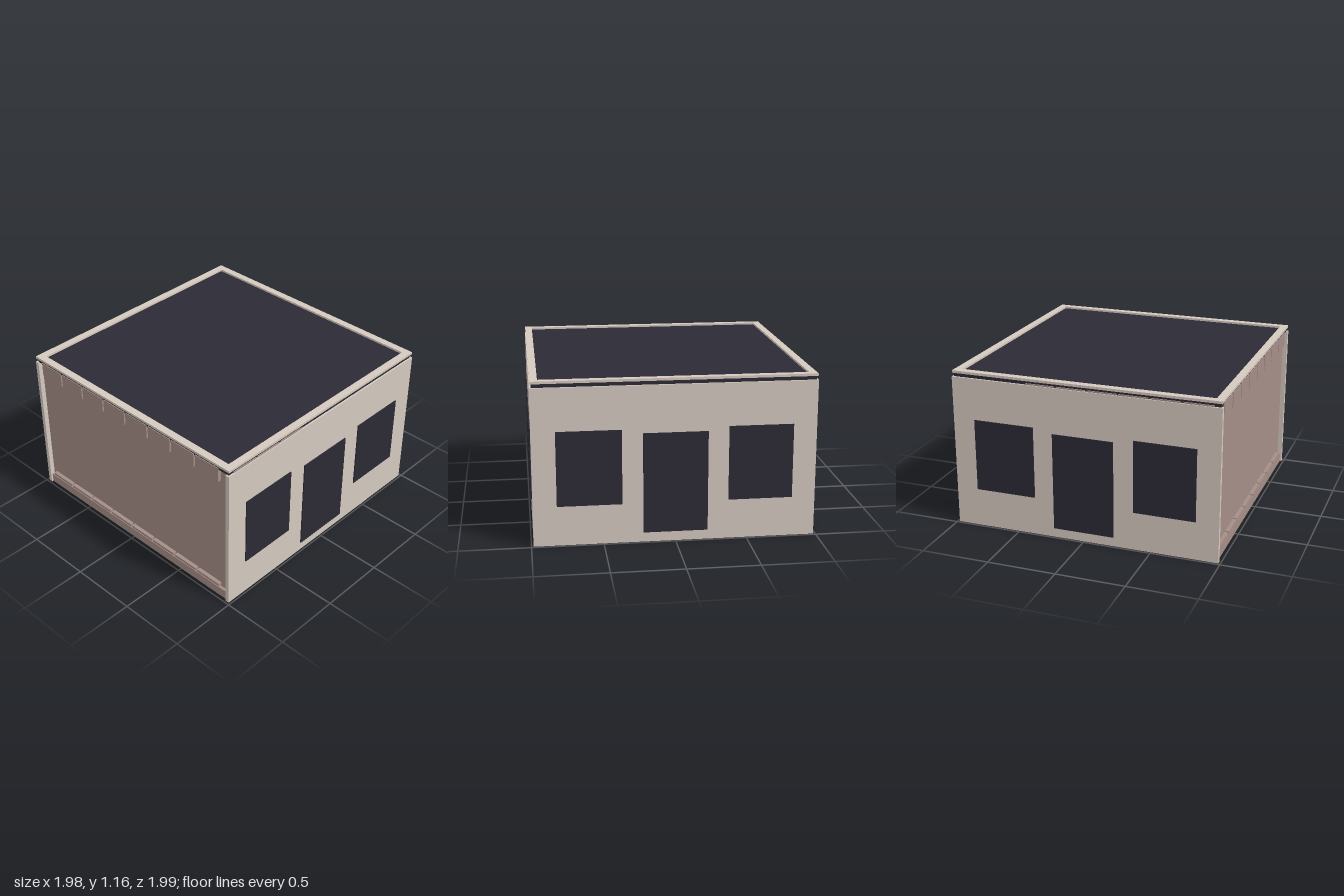
import * as THREE from 'three';

const mat = (color, side = THREE.FrontSide) => new THREE.MeshStandardMaterial({ color, side });
const plaster = mat(0xd4c9bf);
const dark = mat(0x2c2a35);
const clay = mat(0xa58e87);

// Box given by its lower and upper corners
function box(parent, name, material, [x0, y0, z0], [x1, y1, z1]) {
  const mesh = new THREE.Mesh(new THREE.BoxGeometry(x1 - x0, y1 - y0, z1 - z0), material);
  mesh.position.set((x0 + x1) / 2, (y0 + y1) / 2, (z0 + z1) / 2);
  mesh.name = name;
  parent.add(mesh);
  return mesh;
}

// Flat square ring lying at height y
function ring(name, material, outer, inner, y, height) {
  const rect = (path, s) => path.moveTo(-s, -s).lineTo(s, -s).lineTo(s, s).lineTo(-s, s).closePath();
  const shape = rect(new THREE.Shape(), outer);
  shape.holes.push(rect(new THREE.Path(), inner));
  const geometry = new THREE.ExtrudeGeometry(shape, { depth: height, bevelEnabled: false });
  geometry.rotateX(-Math.PI / 2);
  const mesh = new THREE.Mesh(geometry, material);
  mesh.position.y = y;
  mesh.name = name;
  return mesh;
}

// Wall facing +z with two windows and a door, turned about y to its side
function facade(name, turn) {
  const wall = new THREE.Group();
  wall.name = name;
  box(wall, 'wallPanel', plaster, [-0.985, 0, 0.955], [0.985, 1.12, 0.985]);
  for (const side of [-1, 1]) {
    const c = side * 0.595;
    box(wall, 'window', dark, [c - 0.225, 0.285, 0.975], [c + 0.225, 0.815, 0.993]);
  }
  box(wall, 'door', dark, [-0.225, 0.07, 0.975], [0.225, 0.785, 0.993]);
  wall.rotation.y = turn;
  return wall;
}

// Row of small blocks facing +z, running from x = start
function blockRow(name, turn, start, count, y0, y1) {
  const row = new THREE.Group();
  row.name = name;
  const pitch = 0.227;
  for (let i = 0; i < count; i++) {
    const x = start + i * pitch;
    box(row, 'block', clay, [x, y0, 0.95], [x + pitch - 0.014, y1, 0.978]);
  }
  row.rotation.y = turn;
  return row;
}

export function createModel() {
  const model = new THREE.Group();
  model.name = 'building';

  // Closed core behind the walls, exposed on the right side and underneath
  box(model, 'core', clay, [-0.95, 0.015, -0.957], [0.957, 1.12, 0.957]);

  // Finished walls: front, left and back
  model.add(facade('frontWall', 0), facade('leftWall', Math.PI / 2), facade('backWall', Math.PI));

  // Open right side: sill, thin bottom strips
  box(model, 'sill', clay, [-0.972, 0, -0.955], [-0.945, 0.07, 0.955]);
  model.add(blockRow('lowerBlocks', -Math.PI / 2, -0.92, 8, 0.085, 0.105));

  // Blocks below the eaves
  model.add(blockRow('rightBlocks', -Math.PI / 2, -0.92, 8, 1.02, 1.13));
  model.add(blockRow('frontBlocks', 0, -0.93, 3, 1.02, 1.13));
  model.add(blockRow('backBlocks', Math.PI, -0.42, 6, 1.02, 1.13));

  // Recessed dark band, flat roof and raised rim
  model.add(ring('eavesBand', dark, 0.972, 0.9, 1.118, 0.03));
  box(model, 'roof', dark, [-0.93, 1.11, -0.93], [0.93, 1.15, 0.93]);
  model.add(ring('roofRim', plaster, 0.982, 0.928, 1.147, 0.018));

  return model;
}
